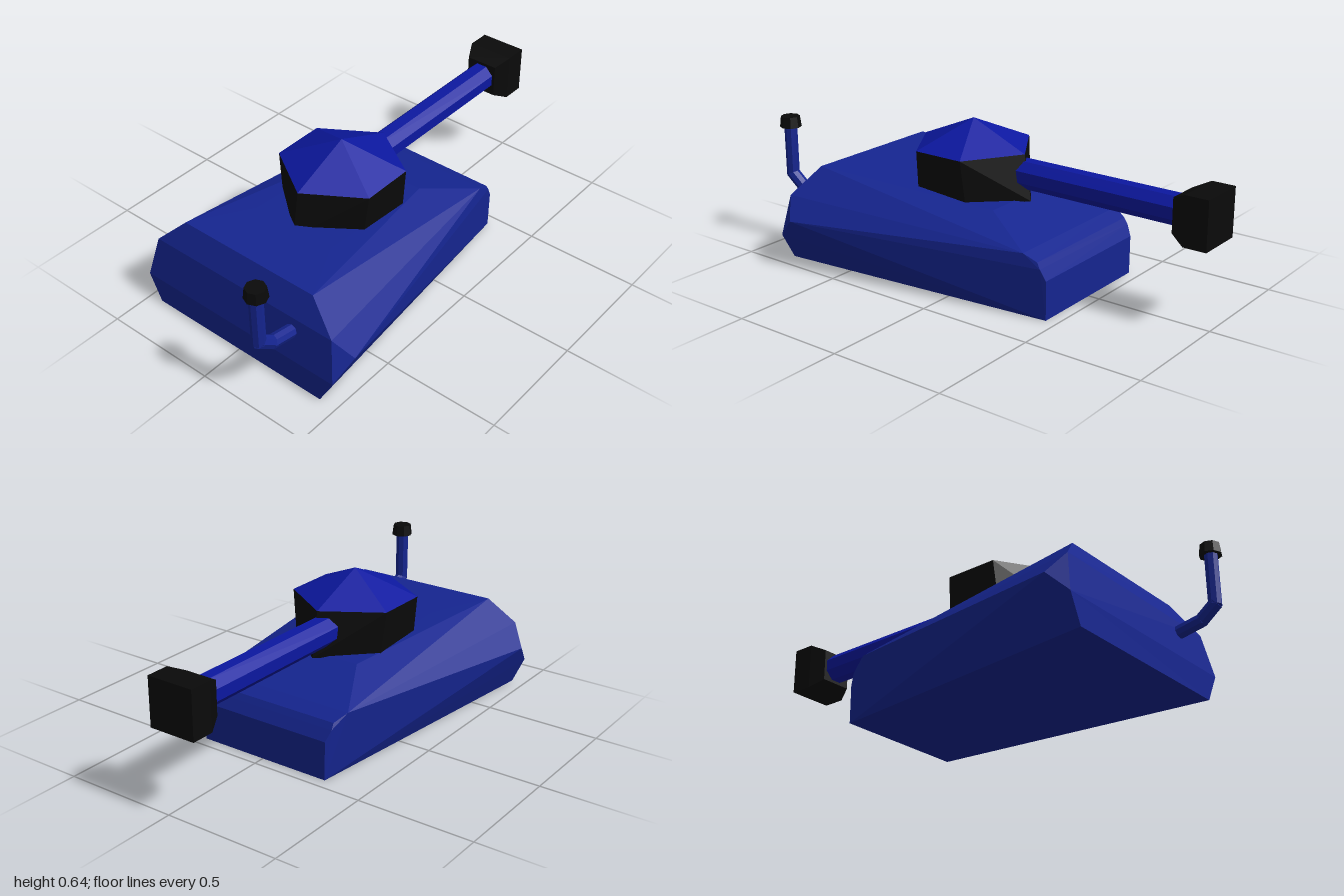
import * as THREE from 'three';
import { ConvexGeometry } from 'three/addons/geometries/ConvexGeometry.js';

const paint = (color) => new THREE.MeshStandardMaterial({ color, flatShading: true });
const hullBlue = paint(0x152590);
const brightBlue = paint(0x0c18a0);
const black = paint(0x0a0a0a);
const V = (x, y, z) => new THREE.Vector3(x, y, z);

export function createModel() {
  const model = new THREE.Group();
  const add = (name, geometry, material, parent = model) => {
    const mesh = new THREE.Mesh(geometry, material);
    mesh.name = name;
    parent.add(mesh);
    return mesh;
  };

  // Faceted hull: each row is x, y, near z, far z
  const hullRows = [
    [-0.81, 0, 0.42, -0.44], [-0.81, 0.12, 0.485, -0.495],
    [-0.72, 0.21, 0.52, -0.523], [-0.775, 0.3, 0.455, -0.455],
    [-0.72, 0.405, 0.32, -0.345], [-0.46, 0.387, 0.18, -0.21],
    [0.1, 0.343, 0.18, -0.21], [0.35, 0.262, 0.315, -0.345],
    [0.41, 0.235, 0.305, -0.32], [0.425, 0.21, 0.308, -0.322],
    [0.45, 0.165, 0.302, -0.308], [0.45, 0, 0.3, -0.307],
  ];
  add('hull', new ConvexGeometry(
    hullRows.flatMap(([x, y, z1, z2]) => [V(x, y, z1), V(x, y, z2)])), hullBlue);

  // Six-sided turret with a pointed roof
  const turret = new THREE.Group();
  turret.name = 'turret';
  turret.position.set(-0.155, 0, -0.02);
  model.add(turret);
  const hexagon = (y, tip, side, depth) => [1, -1].flatMap((s) => [
    V(s * tip, y, 0), V(s * side, y, depth), V(s * side, y, -depth)]);
  const eave = hexagon(0.53, 0.265, 0.115, 0.236);
  add('turretBase', new ConvexGeometry([...hexagon(0.335, 0.298, 0.125, 0.214), ...eave]), black, turret);
  add('turretRoof', new ConvexGeometry([...eave, V(0, 0.642, 0)]), brightBlue, turret);

  // Gun barrel along +x
  const barrel = add('barrel', new THREE.CylinderGeometry(0.064, 0.064, 0.86, 8), brightBlue);
  barrel.rotation.set(Math.PI / 8, 0, -Math.PI / 2, 'ZYX');
  barrel.rotation.set(0, 0, -Math.PI / 2);
  barrel.geometry.rotateY(Math.PI / 8);
  barrel.position.set(0.43, 0.443, -0.038);

  // Square muzzle block flaring out from the barrel
  const square = (x, r) => [-1, 1].flatMap((a) => [-1, 1].map((b) => V(x, 0.443 + a * r, -0.038 + b * r)));
  add('muzzle', new ConvexGeometry(
    [...square(0.835, 0.072), ...square(0.9, 0.103), ...square(1, 0.103)]), black);

  // Bent exhaust pipe at the rear
  const exhaust = new THREE.Group();
  exhaust.name = 'exhaust';
  model.add(exhaust);
  const bends = [V(-0.74, 0.235, 0.265), V(-0.89, 0.264, 0.265), V(-0.955, 0.315, 0.265), V(-0.955, 0.55, 0.265)];
  for (let i = 0; i < bends.length - 1; i++) {
    const along = bends[i + 1].clone().sub(bends[i]);
    const pipe = add('exhaustPipe',
      new THREE.CylinderGeometry(0.028, 0.028, along.length() + 0.014, 8), hullBlue, exhaust);
    pipe.position.copy(bends[i]).addScaledVector(along, 0.5);
    pipe.quaternion.setFromUnitVectors(V(0, 1, 0), along.normalize());
  }
  add('exhaustCap', new THREE.CylinderGeometry(0.041, 0.047, 0.048, 8), black, exhaust)
    .position.set(-0.953, 0.553, 0.266);

  return model;
}
